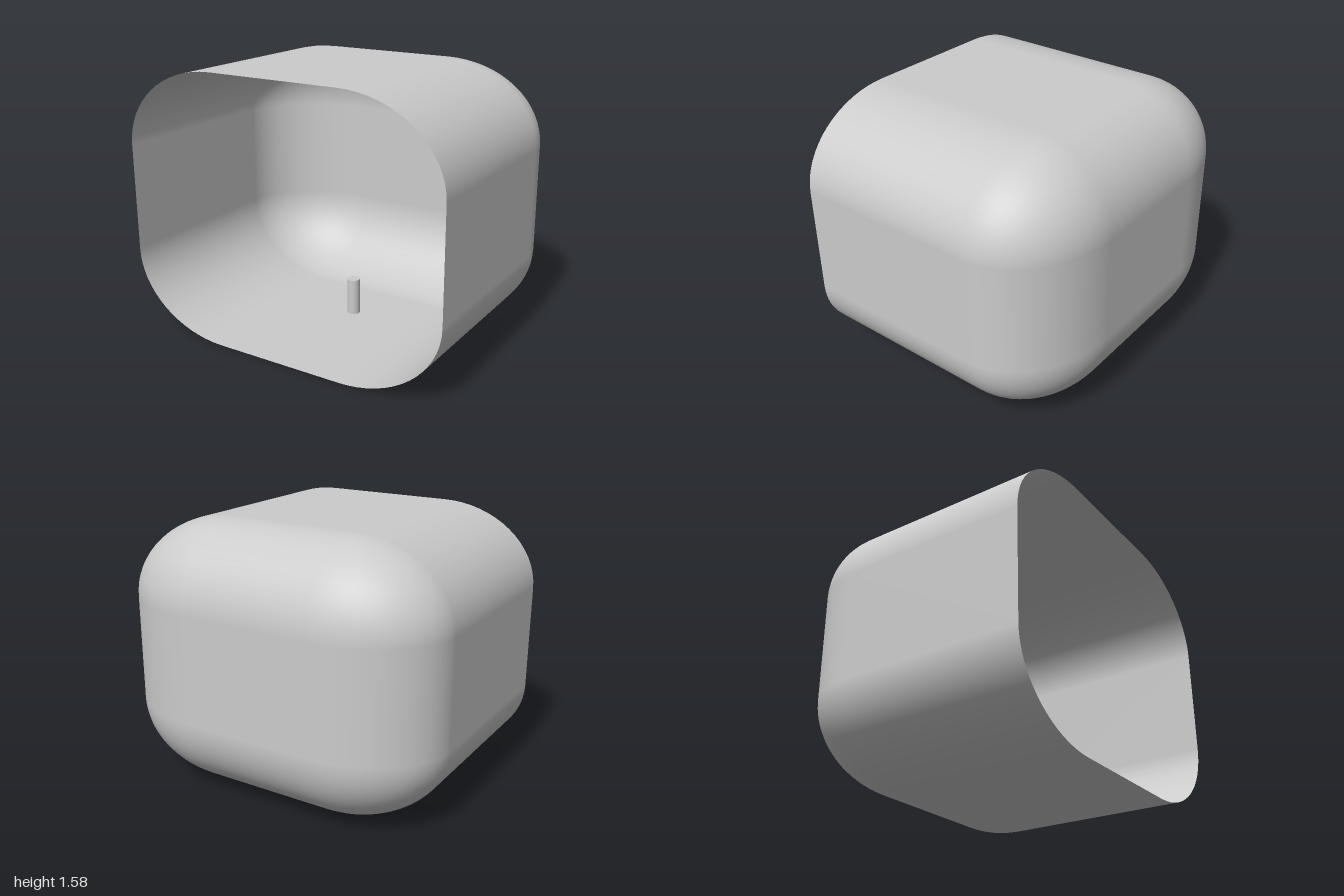
import * as THREE from 'three';

const HALF = { x: 1, y: 0.79, z: 0.79 };
const RADIUS = { x: 0.6, y: 0.474, z: 0.474 };
const STEPS = 16; // segments per quarter round

// Rounded rectangular tub, open at +z: loops run from the rim to the closed back
function shellGeometry() {
  const positions = [], normals = [], indices = [];
  const loopSize = 4 * (STEPS + 1);
  const inner = { x: HALF.x - RADIUS.x, y: HALF.y - RADIUS.y, z: HALF.z - RADIUS.z };

  function addLoop(theta, z) {
    const spread = Math.cos(theta);
    for (let corner = 0; corner < 4; corner++) {
      const sx = corner === 0 || corner === 3 ? 1 : -1;
      const sy = corner < 2 ? 1 : -1;
      for (let k = 0; k <= STEPS; k++) {
        const phi = (corner + k / STEPS) * Math.PI / 2;
        const cx = spread * Math.cos(phi), cy = spread * Math.sin(phi);
        positions.push(sx * inner.x + RADIUS.x * cx, HALF.y + sy * inner.y + RADIUS.y * cy, z);
        const n = new THREE.Vector3(cx / RADIUS.x, cy / RADIUS.y, -Math.sin(theta) / RADIUS.z).normalize();
        normals.push(n.x, n.y, n.z);
      }
    }
  }

  // Straight walls, then the rounded back edge
  addLoop(0, HALF.z);
  for (let i = 0; i <= STEPS; i++) {
    const theta = i / STEPS * Math.PI / 2;
    addLoop(theta, -inner.z - RADIUS.z * Math.sin(theta));
  }
  const loops = STEPS + 2;
  for (let i = 0; i < loops - 1; i++) {
    for (let j = 0; j < loopSize; j++) {
      const next = (j + 1) % loopSize;
      const a = i * loopSize + j, b = i * loopSize + next;
      const c = a + loopSize, d = b + loopSize;
      indices.push(a, c, b, b, c, d);
    }
  }

  // Flat back panel between the four corner points
  const [p, q, r, s] = [0, 1, 2, 3].map(k => (loops - 1) * loopSize + k * (STEPS + 1));
  indices.push(p, r, q, p, s, r);

  const geometry = new THREE.BufferGeometry();
  geometry.setAttribute('position', new THREE.Float32BufferAttribute(positions, 3));
  geometry.setAttribute('normal', new THREE.Float32BufferAttribute(normals, 3));
  geometry.setIndex(indices);
  return geometry;
}

export function createModel() {
  const model = new THREE.Group();
  model.name = 'openRoundedShell';

  const shell = new THREE.Mesh(
    shellGeometry(),
    new THREE.MeshStandardMaterial({ color: 0xcccccc, side: THREE.DoubleSide })
  );
  shell.name = 'shell';
  model.add(shell);

  // Small peg standing in the middle of the floor: body and cap
  const peg = new THREE.Group();
  peg.name = 'peg';
  const material = new THREE.MeshStandardMaterial({ color: 0xcccccc });
  for (const [name, bottom, top] of [['pegBody', 0, 0.165], ['pegCap', 0.165, 0.222]]) {
    const part = new THREE.Mesh(new THREE.CylinderGeometry(0.039, 0.039, top - bottom, 32), material);
    part.name = name;
    part.position.y = (bottom + top) / 2;
    peg.add(part);
  }
  model.add(peg);

  return model;
}
